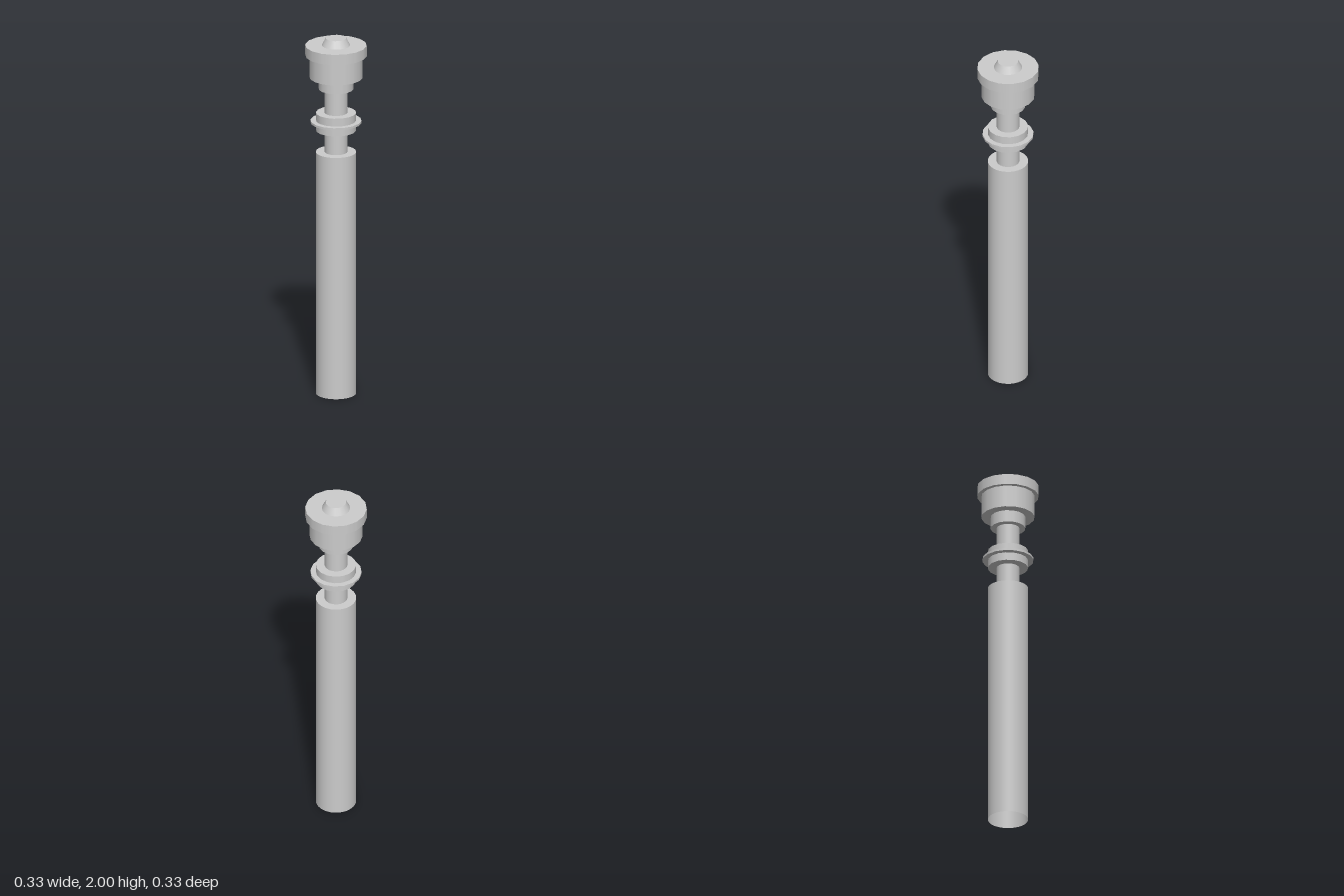
import * as THREE from 'three';

export function createModel() {
  const group = new THREE.Group();
  const material = new THREE.MeshStandardMaterial({ color: 0xcccccc, side: THREE.DoubleSide });

  // Upright round section between two heights, optionally tapered
  function section(name, y0, y1, rBottom, rTop = rBottom, sides = 16, open = false) {
    const geometry = new THREE.CylinderGeometry(rTop, rBottom, y1 - y0, sides, 1, open);
    const mesh = new THREE.Mesh(geometry, material);
    mesh.name = name;
    mesh.position.y = (y0 + y1) / 2;
    group.add(mesh);
    return mesh;
  }

  // Long hollow tube, open at the bottom and closed at the top
  section('tube', 0, 1.36, 0.108, 0.108, 32, true);
  const cap = new THREE.Mesh(new THREE.CircleGeometry(0.108, 32), material);
  cap.name = 'tubeCap';
  cap.rotation.x = -Math.PI / 2;
  cap.position.y = 1.36;
  group.add(cap);

  // Slim stem with a flanged collar
  section('stem', 1.36, 1.715, 0.061, 0.061, 24);
  section('collar', 1.481, 1.581, 0.108);
  section('flange', 1.525, 1.537, 0.137);

  // Stepped head
  section('headBase', 1.714, 1.78, 0.093);
  section('headBody', 1.78, 1.902, 0.143);
  section('headRim', 1.902, 1.96, 0.165);
  section('headTip', 1.96, 2, 0.076, 0.055);

  return group;
}
